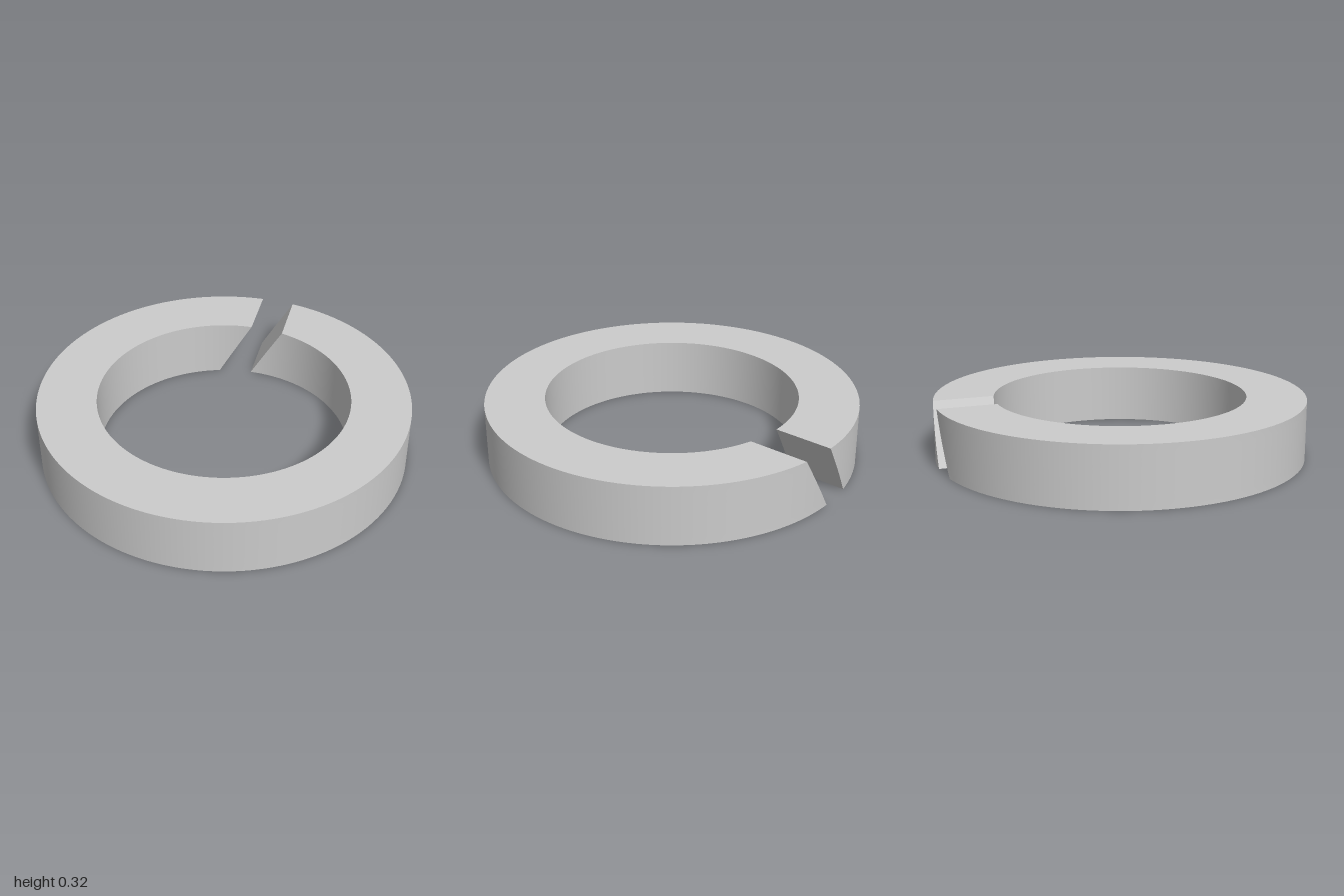
import * as THREE from 'three';
import { toCreasedNormals } from 'three/addons/utils/BufferGeometryUtils.js';

const OUTER = 1, INNER = 0.68, HEIGHT = 0.32;
const GAP = 0.185;   // width of the slanted slot, along x
const LEAN = 0.185;  // how far the slot leans toward +x over the height
const SEGMENTS = 128, ROWS = 8;

// Ring swept from one slanted cut at the back (-z) round to the other
function splitRingGeometry() {
  // Rectangular section as a closed loop: up the outer wall, down the inner wall
  const section = [];
  for (let j = 0; j <= ROWS; j++) section.push([OUTER, HEIGHT * j / ROWS]);
  for (let j = ROWS; j >= 0; j--) section.push([INNER, HEIGHT * j / ROWS]);
  const count = section.length;

  const positions = [], index = [];
  const quad = (a, b, c, d) => index.push(a, b, c, a, c, d);

  for (let i = 0; i <= SEGMENTS; i++) {
    for (const [r, y] of section) {
      // Each point starts and stops on the planes of the cut
      const x = LEAN * y / HEIGHT;
      const start = Math.asin(x / r);
      const end = 2 * Math.PI + Math.asin((x - GAP) / r);
      const angle = start + (end - start) * i / SEGMENTS;
      positions.push(r * Math.sin(angle), y, -r * Math.cos(angle));
    }
  }

  // Walls, top and bottom
  for (let i = 0; i < SEGMENTS; i++) {
    for (let k = 0; k < count; k++) {
      const a = i * count + k, b = i * count + (k + 1) % count;
      quad(a, b, b + count, a + count);
    }
  }

  // Two slanted end faces
  const last = SEGMENTS * count;
  for (let j = 0; j < ROWS; j++) {
    const inner = count - 1 - j;
    quad(j, inner, inner - 1, j + 1);
    quad(last + j, last + j + 1, last + inner - 1, last + inner);
  }

  const geometry = new THREE.BufferGeometry();
  geometry.setAttribute('position', new THREE.Float32BufferAttribute(positions, 3));
  geometry.setIndex(index);
  return toCreasedNormals(geometry, 0.5);
}

export function createModel() {
  const group = new THREE.Group();
  group.name = 'splitLockWasher';
  const ring = new THREE.Mesh(
    splitRingGeometry(),
    new THREE.MeshStandardMaterial({ color: 0xcccccc })
  );
  ring.name = 'splitRing';
  group.add(ring);
  return group;
}
